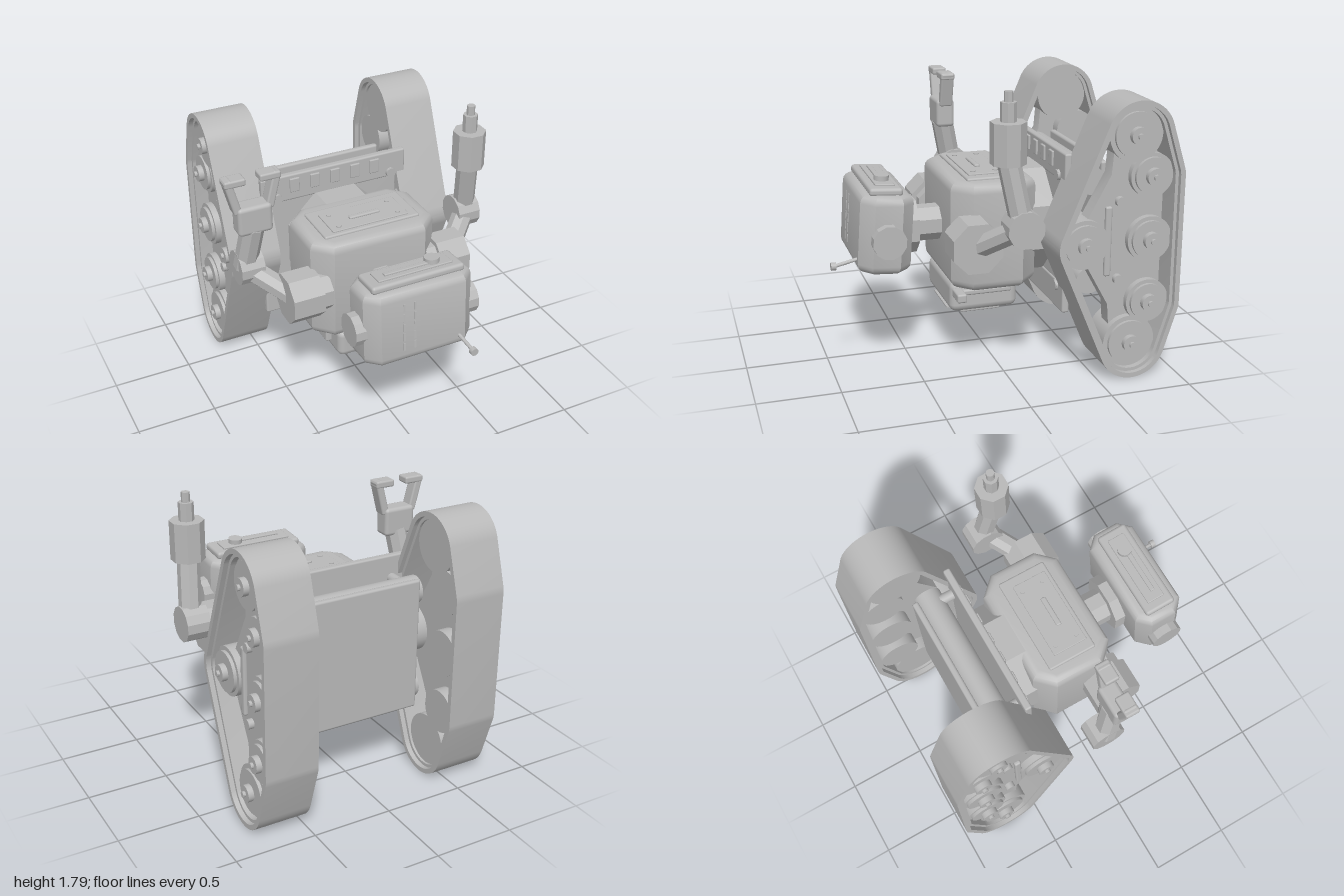
import * as THREE from 'three';
import { toCreasedNormals } from 'three/addons/utils/BufferGeometryUtils.js';
import { RoundedBoxGeometry } from 'three/addons/geometries/RoundedBoxGeometry.js';

const grey = new THREE.MeshStandardMaterial({ color: 0xb8b8b8 });
const CX = 0.035; // the body's centre line
const MID = 0.86; // height of the horizontal symmetry plane

function add(parent, name, geo, x = 0, y = 0, z = 0) {
  const mesh = new THREE.Mesh(geo, grey);
  mesh.name = name;
  mesh.position.set(x, y, z);
  parent.add(mesh);
  return mesh;
}

const box = (w, h, d, r = 0.012) => new RoundedBoxGeometry(w, h, d, 2, Math.min(r, w / 2.1, h / 2.1, d / 2.1));

// Cylinder along a chosen axis; few sides give a faceted prism with flats facing the axes
function cyl(r, len, axis = 'y', sides = 32) {
  let g = new THREE.CylinderGeometry(r, r, len, sides);
  g.rotateY(Math.PI / sides);
  if (sides < 16) g = toCreasedNormals(g, 0.3);
  if (axis === 'x') g.rotateZ(Math.PI / 2);
  if (axis === 'z') g.rotateX(Math.PI / 2);
  return g;
}

// Box with chamfered vertical corners and rounded top and bottom edges
function chamferBox(w, h, d, c, b) {
  const x = w / 2 - b, z = d / 2 - b;
  const s = new THREE.Shape([[x, c - z], [x, z - c], [x - c, z], [c - x, z], [-x, z - c], [-x, c - z], [c - x, -z], [x - c, -z]]
    .map(p => new THREE.Vector2(...p)));
  const g = new THREE.ExtrudeGeometry(s, { depth: h - 2 * b, bevelSize: b, bevelThickness: b, bevelSegments: 4 });
  g.translate(0, 0, b - h / 2).rotateX(-Math.PI / 2);
  return toCreasedNormals(g, 0.6);
}

// Prism between two points
function strut(parent, name, a, b, r, sides = 8) {
  const p = new THREE.Vector3(...a), q = new THREE.Vector3(...b);
  const mesh = add(parent, name, cyl(r, p.distanceTo(q), 'y', sides));
  mesh.position.copy(p).lerp(q, 0.5);
  mesh.quaternion.setFromUnitVectors(new THREE.Vector3(0, 1, 0), q.sub(p).normalize());
  return mesh;
}

// Track wheels: z, y, wheel radius, outer track radius
const wheels = [
  [-0.71, 1.5, 0.165, 0.21], [-0.71, 0.22, 0.165, 0.21], [-0.41, MID, 0.15, 0.18],
  [-0.82, 1.25, 0.135, 0.18], [-0.82, MID, 0.14, 0.18], [-0.82, 0.47, 0.135, 0.18],
];

// Outline of a belt stretched round the wheels, moved inwards by inset
function beltPoints(inset) {
  const pts = [], n = 120;
  for (let i = 0; i < n; i++) {
    const t = (i / n) * Math.PI * 2, c = Math.cos(t), s = Math.sin(t);
    const w = wheels.reduce((m, k) => (k[0] * c + k[1] * s + k[3] > m[0] * c + m[1] * s + m[3] ? k : m));
    pts.push(new THREE.Vector2(w[0] + (w[3] - inset) * c, w[1] + (w[3] - inset) * s));
  }
  return pts;
}

// Extrude a (z, y) shape sideways, centred on x = 0
function sideExtrude(shape, width) {
  const g = new THREE.ExtrudeGeometry(shape, { depth: width, bevelEnabled: false });
  g.translate(0, 0, -width / 2).rotateY(-Math.PI / 2);
  return toCreasedNormals(g, 0.5);
}

function belt(outer, inner, width) {
  const s = new THREE.Shape(beltPoints(outer));
  s.holes.push(new THREE.Path(beltPoints(inner)));
  return sideExtrude(s, width);
}

function makeTrack(side) {
  const g = new THREE.Group();
  g.name = side > 0 ? 'leftTrack' : 'rightTrack';
  const X = d => side * d;
  add(g, 'trackBelt', belt(0, 0.03, 0.33), X(0.61));
  add(g, 'trackRim', belt(0.029, 0.05, 0.27), X(0.61));
  // Frame plate carrying the wheels
  const half = [[-0.36, MID], [-0.47, 1.06], [-0.58, 1.26], [-0.6, 1.5], [-0.7, 1.58], [-0.82, 1.5], [-0.91, 1.25]];
  const pts = half.concat(half.slice(1).reverse().map(([z, y]) => [z, 2 * MID - y]));
  add(g, 'trackFrame', sideExtrude(new THREE.Shape(pts.map(p => new THREE.Vector2(...p))), 0.1), X(0.62));
  for (const [z, y, r] of wheels) {
    add(g, 'wheel', cyl(r, 0.22, 'x', 40), X(0.6), y, z);
    add(g, 'wheelFlange', cyl(r * 0.83, 0.02, 'x', 40), X(0.72), y, z);
    add(g, 'wheelHub', cyl(0.052, 0.04, 'x', 24), X(0.745), y, z);
    add(g, 'wheelBolt', cyl(0.018, 0.02, 'x', 12), X(0.772), y, z);
  }
  add(g, 'frameRib', box(0.03, 0.43, 0.042), X(0.68), MID, -0.565);
  for (const y of [1.1, 0.62]) add(g, 'frameBolt', cyl(0.03, 0.04, 'x', 20), X(0.685), y, -0.635);
  return g;
}

function makeArm(side) {
  const g = new THREE.Group();
  g.name = side > 0 ? 'leftArm' : 'rightArm';
  add(g, 'shoulderJoint', cyl(0.13, 0.12, 'x', 8), side * 0.39, MID, 0.2);
  add(g, 'shoulder', cyl(0.16, 0.2, 'x', 8), side * 0.5, MID, 0.2);
  strut(g, 'upperArm', [side * 0.53, 0.85, 0.19], [side * 0.76, 1.02, 0], 0.068);
  add(g, 'elbow', cyl(0.11, 0.15, 'x', 12), side * 0.745, 1.02, -0.015);
  return g;
}

export function createModel() {
  const root = new THREE.Group();
  root.name = 'trackedRobot';
  const body = new THREE.Group();
  body.name = 'body';
  body.position.x = CX;
  root.add(body);

  // Torso with its top hatch
  add(body, 'torso', chamferBox(0.835, 0.67, 0.53, 0.075, 0.06), 0, 0.855, 0.02);
  add(body, 'hatchBase', box(0.64, 0.04, 0.315), 0, 1.185, 0.027);
  add(body, 'hatchPlate', box(0.51, 0.012, 0.222, 0.004), 0, 1.208, 0.047);
  add(body, 'hatchHandle', box(0.205, 0.02, 0.034), 0, 1.218, 0.058);
  for (const x of [-0.2, 0.2]) for (const z of [-0.026, 0.116]) add(body, 'hatchBolt', cyl(0.016, 0.012, 'y', 12), x, 1.214, z);
  add(body, 'backMount', cyl(0.355, 0.22, 'z', 8), 0, MID, -0.26);

  // Neck and head
  add(body, 'neck', cyl(0.113, 0.24, 'z', 8), 0, MID, 0.36);
  add(body, 'neckCollar', cyl(0.178, 0.07, 'z', 8), 0, MID, 0.473);
  const head = new THREE.Group();
  head.name = 'head';
  head.position.set(0, 0.9, 0.672);
  head.rotation.x = -0.07;
  body.add(head);
  add(head, 'skull', chamferBox(0.705, 0.48, 0.32, 0.045, 0.055));
  add(head, 'crownBase', box(0.6, 0.05, 0.2, 0.02), 0, 0.255, 0.01);
  add(head, 'crownPlate', box(0.48, 0.014, 0.115, 0.005), 0, 0.284, 0.01);
  add(head, 'crownBar', box(0.35, 0.014, 0.03, 0.005), -0.01, 0.295, 0.02);
  add(head, 'crownKnob', cyl(0.045, 0.035, 'y', 20), 0.132, 0.303, 0.01);
  add(head, 'earDiscs', cyl(0.102, 0.81, 'x', 12), 0, -0.02, 0);
  // Dashed slits on the face
  for (const x of [-0.13, -0.06]) for (let i = 0; i < 5; i++) {
    add(head, 'faceSlit', new THREE.BoxGeometry(0.012, 0.05, 0.006), x, -0.13 + i * 0.065, 0.161);
  }
  strut(body, 'antennaRod', [0.235, 0.75, 0.82], [0.25, 0.72, 0.98], 0.011, 12);
  add(body, 'antennaTip', cyl(0.024, 0.03, 'z', 16), 0.25, 0.72, 0.985);

  // Belly pack with underside slats and side rail
  add(body, 'bellyPack', box(0.555, 0.195, 0.43, 0.045), 0, 0.445, 0.065);
  for (let i = -2; i <= 2; i++) add(body, 'bellySlat', box(0.042, 0.03, 0.25, 0.008), i * 0.1, 0.338, 0.075);
  add(body, 'bellyRail', box(0.05, 0.036, 0.32), 0.285, 0.483, 0.06);
  add(body, 'bellyNozzle', box(0.13, 0.055, 0.06), 0.335, 0.483, 0.24);
  add(body, 'bellyLug', box(0.05, 0.08, 0.2), -0.29, 0.45, 0.06);
  add(body, 'bellyLip', new THREE.BoxGeometry(0.3, 0.008, 0.045), 0, 0.338, 0.25);

  // Back plate: wide strips joined by a narrower web
  add(body, 'plateWeb', box(0.89, 0.7, 0.03), 0, MID, -0.38);
  for (const s of [-1, 1]) {
    add(body, 'plateStrip', box(1.01, 0.18, 0.045), 0, MID + s * 0.408, -0.38);
    add(body, 'crossTube', cyl(0.085, 0.96, 'x', 32), 0, MID + s * 0.315, -0.54);
    for (const x of [-0.4, 0.4]) {
      add(body, 'platePin', cyl(0.033, 0.16, 'z', 16), x, MID + s * 0.35, -0.42);
      add(body, 'pinHead', cyl(0.034, 0.012, 'z', 20), x, MID + s * 0.35, -0.354);
    }
  }
  for (let i = -2; i <= 2; i++) add(body, 'plateRib', box(0.066, 0.095, 0.02, 0.006), i * 0.14, 1.285, -0.355);
  add(body, 'rearPanel', box(0.88, 0.84, 0.04, 0.015), 0, MID, -0.635);

  for (const s of [-1, 1]) body.add(makeTrack(s));

  // Left arm with a stepped barrel
  const left = makeArm(1);
  body.add(left);
  strut(left, 'forearm', [0.755, 1.02, -0.01], [0.72, 1.41, 0.065], 0.068);
  add(left, 'barrelHousing', cyl(0.103, 0.24, 'y', 8), 0.72, 1.51, 0.067);
  add(left, 'barrel', cyl(0.046, 0.12, 'y', 8), 0.72, 1.68, 0.067);
  add(left, 'barrelTip', cyl(0.026, 0.09, 'y', 8), 0.72, 1.755, 0.067);

  // Right arm with a two-fingered claw
  const right = makeArm(-1);
  body.add(right);
  strut(right, 'forearm', [-0.765, 1.02, -0.01], [-0.725, 1.33, 0.055], 0.072);
  add(right, 'palm', box(0.215, 0.185, 0.12, 0.025), -0.723, 1.393, 0.057);
  for (const s of [-1, 1]) {
    const finger = add(right, 'finger', box(0.05, 0.23, 0.085), -0.723 + s * 0.125, 1.56, 0.057);
    finger.rotation.z = -s * 0.25;
    add(right, 'fingertip', box(0.13, 0.045, 0.09), -0.723 + s * 0.108, 1.65, 0.057);
  }
  return root;
}
